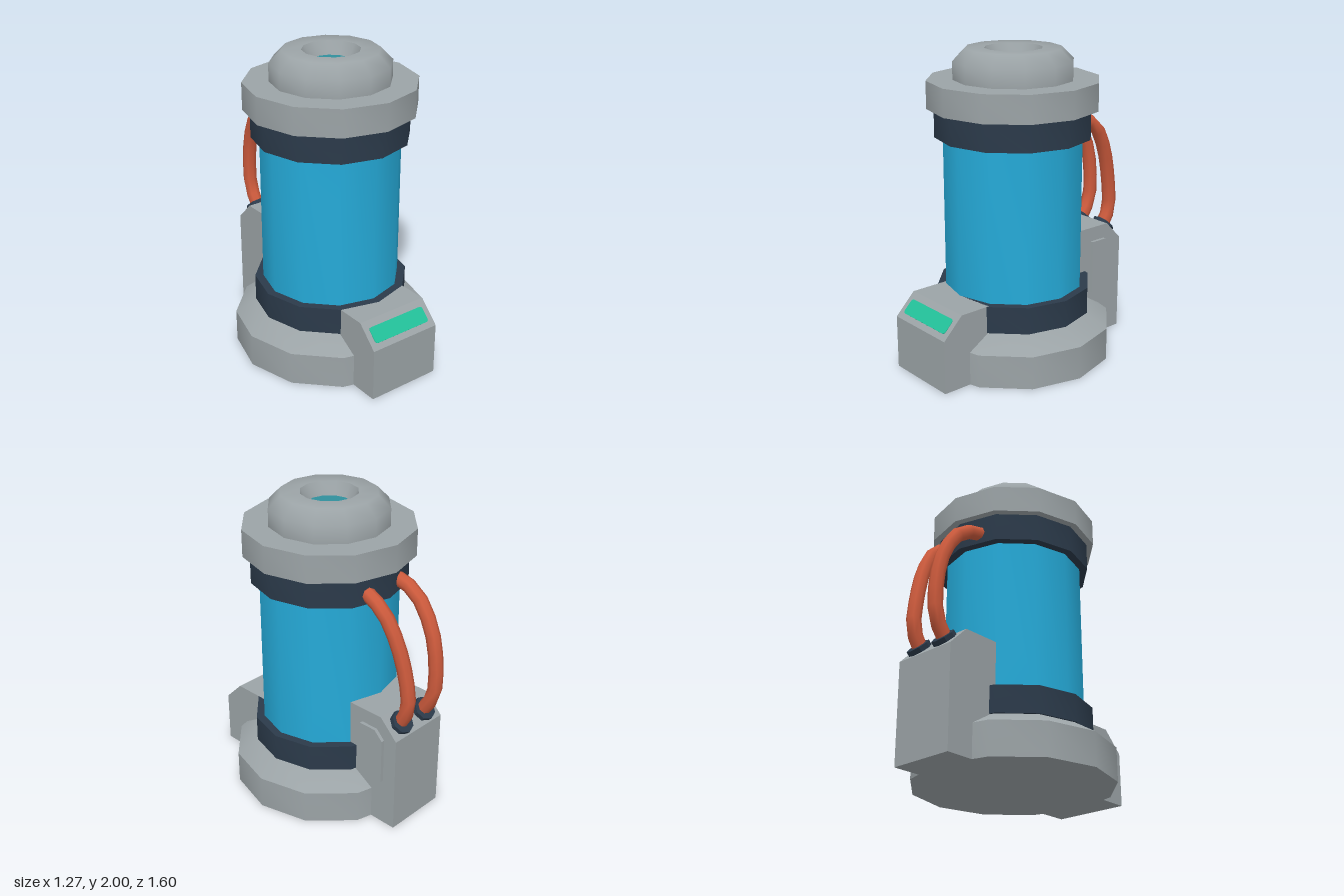
import * as THREE from 'three';
import { toCreasedNormals } from 'three/addons/utils/BufferGeometryUtils.js';

const mat = (name, color) => new THREE.MeshStandardMaterial({ name, color });

export function createModel() {
  const model = new THREE.Group();
  model.name = 'canister';
  const grey = mat('grey metal', 0x9ba3a6);
  const navy = mat('dark band', 0x2b3a4a);
  const blue = mat('blue tank', 0x25aad8);
  const teal = mat('teal lens', 0x308f9c);
  const orange = mat('orange hose', 0xcc5a3c);
  const green = mat('green screen', 0x22bf98);
  const axisZ = 0.04; // the round body sits slightly forward

  const add = (name, geometry, material) => {
    const mesh = new THREE.Mesh(geometry, material);
    mesh.name = name;
    model.add(mesh);
    return mesh;
  };

  // Twelve-sided turned part, smooth around with sharp rims
  const turned = (name, profile, material) => {
    const g = new THREE.LatheGeometry(profile.map(([r, y]) => new THREE.Vector2(r, y)), 12);
    return add(name, toCreasedNormals(g, 0.9).translate(0, 0, axisZ), material);
  };

  // Side profile in (z, y), extruded across x from x0 to x1
  const block = (name, profile, x0, x1, material) => {
    const shape = new THREE.Shape(profile.map(([z, y]) => new THREE.Vector2(z, y)));
    const g = new THREE.ExtrudeGeometry(shape, { depth: x1 - x0, bevelEnabled: false });
    return add(name, g.rotateY(-Math.PI / 2).translate(x1, 0, 0), material);
  };

  // Round body, bottom to top
  turned('base', [[0, 0], [0.635, 0], [0.635, 0.215], [0.48, 0.31], [0.4, 0.31]], grey);
  turned('lowerBand', [[0.4, 0.305], [0.5, 0.305], [0.5, 0.48], [0.43, 0.48]], navy);
  turned('tank', [[0.447, 0.4], [0.447, 1.5]], blue);
  turned('upperBand', [[0.43, 1.455], [0.5, 1.455], [0.5, 1.635], [0.4, 1.635]], navy);
  turned('flange', [[0.4, 1.635], [0.545, 1.635], [0.545, 1.81], [0.3, 1.81]], grey);
  turned('cap', [[0.38, 1.81], [0.38, 1.922], [0.303, 2], [0.182, 2], [0.14, 1.92]], grey);
  turned('lens', [[0.142, 1.92], [0, 1.92]], teal);

  // Front console with its sloped screen
  block('console', [[0.4, 0], [0.8, 0], [0.8, 0.345], [0.665, 0.48], [0.4, 0.48]], -0.25, 0.25, grey);
  const w = 0.213, h = 0.052, r = 0.02;
  const s = new THREE.Shape();
  s.moveTo(-w + r, -h);
  s.lineTo(w - r, -h).quadraticCurveTo(w, -h, w, -h + r);
  s.lineTo(w, h - r).quadraticCurveTo(w, h, w - r, h);
  s.lineTo(-w + r, h).quadraticCurveTo(-w, h, -w, h - r);
  s.lineTo(-w, -h + r).quadraticCurveTo(-w, -h, -w + r, -h);
  const screen = add('screen', new THREE.ExtrudeGeometry(s, { depth: 0.004, bevelEnabled: false, curveSegments: 3 }), green);
  screen.rotation.x = -Math.PI / 4;
  screen.position.set(0, 0.41, 0.735);

  // Rear pump housing and the raised plate on its left side
  block('pumpHousing', [[-0.3, 0], [-0.3, 0.775], [-0.6, 0.775], [-0.725, 0.65], [-0.725, 0]], -0.215, 0.215, grey);
  block('sidePlate', [[-0.45, 0.32], [-0.45, 0.68], [-0.57, 0.68], [-0.63, 0.62], [-0.63, 0.32]], 0.21, 0.237, grey);

  // Hoses rising from sockets on the housing slope to the upper band
  const hoses = {
    right: [[-0.105, 0.7, -0.65], [-0.105, 0.85, -0.742], [-0.108, 1.18, -0.732], [-0.114, 1.37, -0.655], [-0.122, 1.49, -0.545], [-0.127, 1.535, -0.39]],
    left: [[0.105, 0.7, -0.65], [0.108, 0.83, -0.718], [0.115, 1.05, -0.7], [0.135, 1.3, -0.625], [0.146, 1.45, -0.53], [0.14, 1.525, -0.39]],
  };
  for (const [side, points] of Object.entries(hoses)) {
    const curve = new THREE.CatmullRomCurve3(points.map((p) => new THREE.Vector3(...p)));
    add(side + 'Hose', new THREE.TubeGeometry(curve, 9, 0.046, 8), orange);
    const socket = add(side + 'Socket', toCreasedNormals(new THREE.CylinderGeometry(0.076, 0.076, 0.04, 8), 0.5), navy);
    socket.rotation.x = -Math.PI / 4;
    socket.position.set(points[0][0], 0.721, -0.671);
  }
  return model;
}
